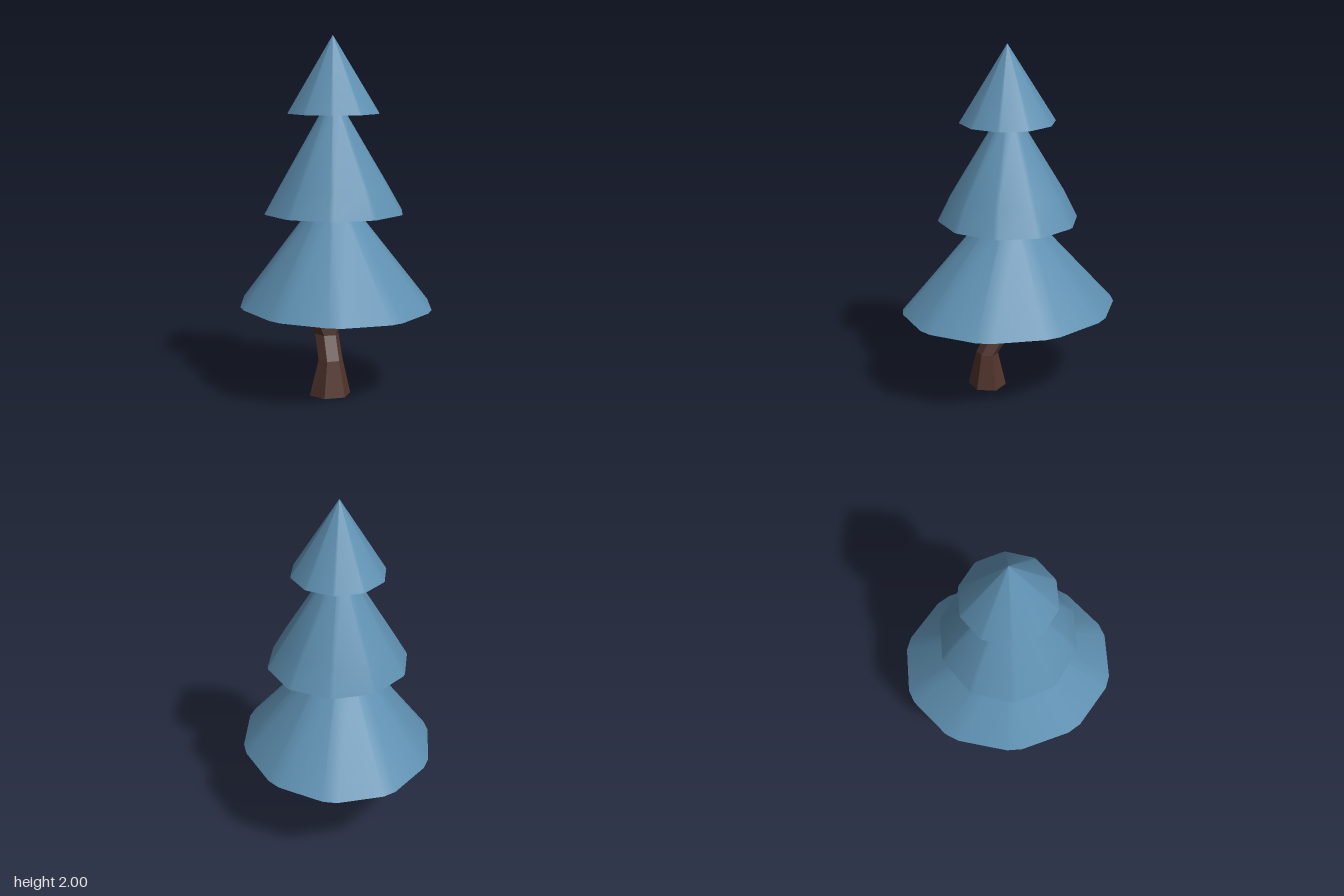
import * as THREE from 'three';
import { toCreasedNormals } from 'three/addons/utils/BufferGeometryUtils.js';

// Unit polygon with a corner on +x; chamfer > 0 cuts each corner in two.
function polygon(sides, chamfer = 0) {
  const corner = (i) => {
    const a = (i / sides) * Math.PI * 2;
    return new THREE.Vector2(Math.cos(a), Math.sin(a));
  };
  const points = [];
  for (let i = 0; i < sides; i++) {
    if (!chamfer) points.push(corner(i));
    else points.push(
      corner(i).lerp(corner(i - 1), chamfer),
      corner(i).lerp(corner(i + 1), chamfer));
  }
  return points;
}

// Closed solid through rings [y, centreX, centreZ, radiusX, radiusZ], from the bottom up.
function loft(outline, rings) {
  const n = outline.length;
  const positions = [];
  const at = (r, i) => {
    const [y, cx, cz, rx, rz] = rings[r];
    const p = outline[i % n];
    return [cx + p.x * rx, y, cz + p.y * rz];
  };
  const centre = (r) => [rings[r][1], rings[r][0], rings[r][2]];
  const tri = (a, b, c) => positions.push(...a, ...b, ...c);
  const last = rings.length - 1;
  for (let i = 0; i < n; i++) {
    for (let r = 0; r < last; r++) {
      tri(at(r, i + 1), at(r, i), at(r + 1, i));
      if (rings[r + 1][3] > 0) tri(at(r, i + 1), at(r + 1, i), at(r + 1, i + 1));
    }
    tri(centre(0), at(0, i), at(0, i + 1));
    if (rings[last][3] > 0) tri(centre(last), at(last, i + 1), at(last, i));
  }
  const geometry = new THREE.BufferGeometry();
  geometry.setAttribute('position', new THREE.Float32BufferAttribute(positions, 3));
  geometry.computeVertexNormals();
  return geometry;
}

export function createModel() {
  const tree = new THREE.Group();
  tree.name = 'pineTree';
  const needles = new THREE.MeshStandardMaterial({ color: 0x5e8fb0 });
  const bark = new THREE.MeshStandardMaterial({ color: 0x50342c, flatShading: true });

  // Crooked six-sided trunk
  const trunk = new THREE.Mesh(loft(polygon(6), [
    [0, -0.063, 0.112, 0.118, 0.107],
    [0.2, -0.06, 0.112, 0.07, 0.061],
    [0.33, -0.058, 0.025, 0.068, 0.075],
    [0.4, -0.062, 0, 0.113, 0.098],
    [0.52, -0.06, -0.02, 0.1, 0.075],
  ]), bark);
  trunk.name = 'trunk';
  tree.add(trunk);

  // Ten-sided foliage tiers with softened corners
  const tiers = [
    { name: 'lowerFoliage', chamfer: 0.12, rings: [
      [0.495, 0, 0, 0.552, 0.631],
      [1.02, -0.015, 0, 0.145, 0.147]] },
    { name: 'middleFoliage', chamfer: 0.06, rings: [
      [1.018, -0.008, 0.003, 0.402, 0.396],
      [1.17, -0.009, 0.003, 0.314, 0.322],
      [1.575, -0.012, 0, 0.072, 0.074]] },
    { name: 'topFoliage', chamfer: 0.05, rings: [
      [1.572, -0.011, 0.003, 0.265, 0.27],
      [2, -0.015, 0.003, 0, 0]] },
  ];
  for (const { name, chamfer, rings } of tiers) {
    const geometry = toCreasedNormals(loft(polygon(10, chamfer), rings), 0.5);
    const mesh = new THREE.Mesh(geometry, needles);
    mesh.name = name;
    tree.add(mesh);
  }
  return tree;
}
